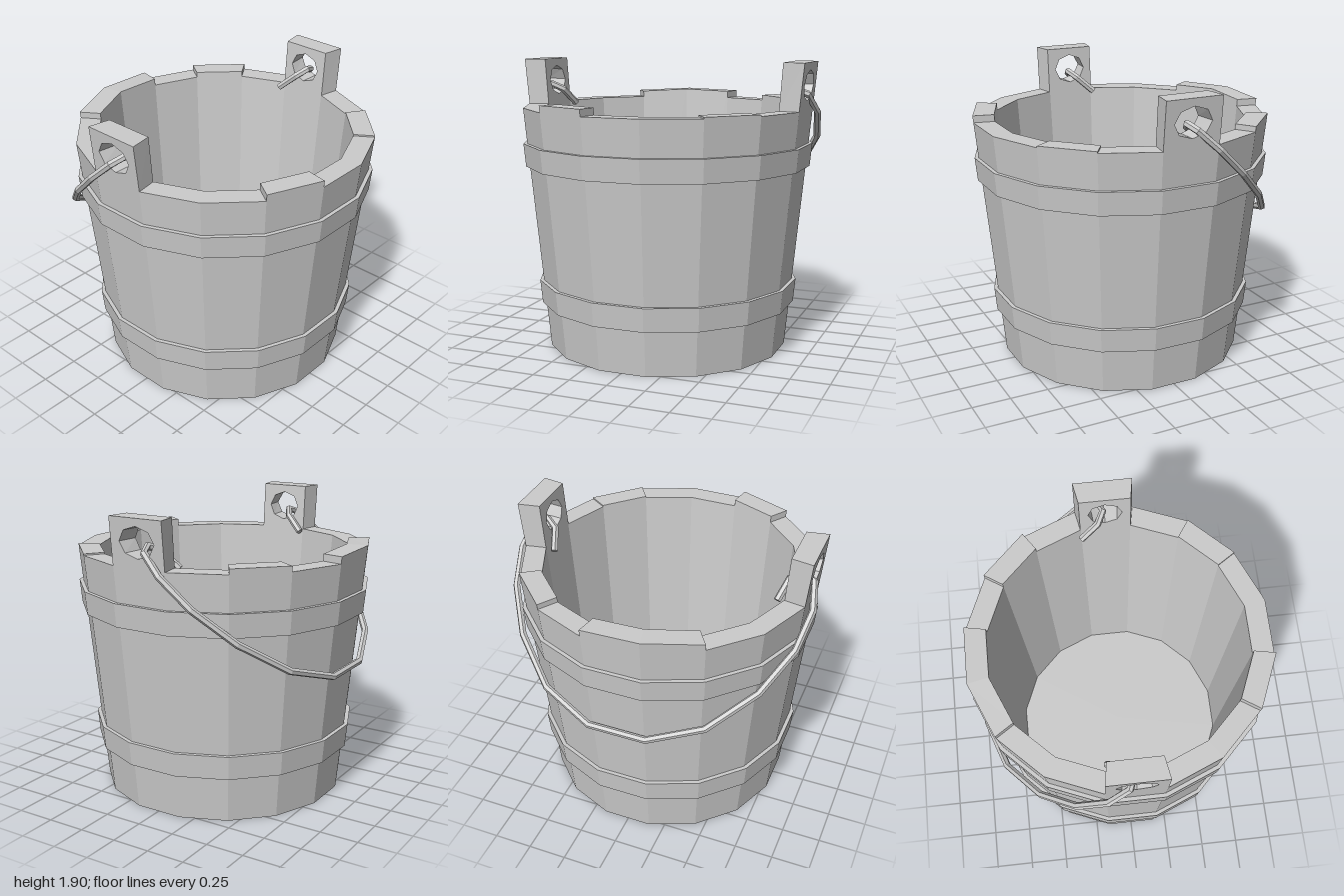
import * as THREE from 'three';

const SIDES = 16;
const STEP = (Math.PI * 2) / SIDES;
const COS = Math.cos(STEP / 2);
const RIM = 1.6;

// flat-to-flat half widths of the tapering wall
const outer = (y) => 0.785 + 0.094 * y;
const inner = (y) => 0.69 + 0.07 * y;

function mapVertices(geometry, rule) {
  const p = geometry.attributes.position;
  const v = new THREE.Vector3();
  for (let i = 0; i < p.count; i++) {
    v.fromBufferAttribute(p, i);
    rule(v);
    p.setXYZ(i, v.x, v.y, v.z);
  }
  geometry.computeVertexNormals();
  return geometry;
}

// one stave: a box bent onto its sector, with its own top height at each edge
function staveGeometry(index, topA, topB) {
  return mapVertices(new THREE.BoxGeometry(1, 1, 1), (v) => {
    const angle = (index + v.x) * STEP;
    const y = v.y < 0 ? 0 : v.x < 0 ? topA : topB;
    const r = (v.z > 0 ? outer(y) : inner(y)) / COS;
    v.set(Math.sin(angle) * r, y, Math.cos(angle) * r);
  });
}

// raised ear with an eight-sided hole, leaning with the wall
function lugGeometry() {
  const w = 0.187;
  const shape = new THREE.Shape([
    new THREE.Vector2(-w, RIM), new THREE.Vector2(w, RIM),
    new THREE.Vector2(w, 1.9), new THREE.Vector2(-w, 1.9),
  ]);
  const hole = [];
  for (let i = 0; i < 8; i++) {
    const a = (-i * Math.PI) / 4;
    hole.push(new THREE.Vector2(Math.cos(a) * 0.125, 1.755 + Math.sin(a) * 0.097));
  }
  shape.holes.push(new THREE.Path(hole));
  const geometry = new THREE.ExtrudeGeometry(shape, { depth: 1, bevelEnabled: false });
  return mapVertices(geometry, (v) => {
    const r = v.z > 0.5 ? outer(v.y) : inner(v.y);
    v.set(v.x * (v.z > 0.5 ? 1 : 0.87), v.y, r);
  });
}

function hoopGeometry(y0, y1) {
  const t = 0.025;
  const profile = [
    [outer(y0) - 0.01, y0], [outer(y0) + t, y0],
    [outer(y1) + t, y1], [outer(y1) - 0.01, y1],
  ].map(([r, y]) => new THREE.Vector2(r / COS, y));
  return new THREE.LatheGeometry(profile, SIDES, STEP / 2);
}

// straight-segment path through the given points
function polyline(points) {
  const curve = new THREE.Curve();
  curve.getPoint = (t, target = new THREE.Vector3()) => {
    const f = THREE.MathUtils.clamp(t, 0, 1) * (points.length - 1);
    const i = Math.min(Math.floor(f), points.length - 2);
    return target.lerpVectors(points[i], points[i + 1], f - i);
  };
  curve.getPointAt = curve.getPoint;
  curve.getTangentAt = curve.getTangent;
  return curve;
}

export function createModel() {
  const model = new THREE.Group();
  model.name = 'bucket';
  const material = new THREE.MeshStandardMaterial({ color: 0xcccccc, flatShading: true });
  const add = (parent, name, geometry) => {
    const mesh = new THREE.Mesh(geometry, material);
    mesh.name = name;
    parent.add(mesh);
    return mesh;
  };

  const body = new THREE.Group();
  body.name = 'body';
  body.position.x = 0.006;
  model.add(body);

  // staves, a few standing slightly proud of the rim
  const tops = {
    2: [1.61, 1.61], 6: [1.635, 1.635], 8: [1.645, 1.655],
    9: [1.655, 1.64], 15: [1.645, 1.645],
  };
  for (let i = 0; i < SIDES; i++) {
    const [a, b] = tops[i] || [RIM, RIM];
    add(body, 'stave', staveGeometry(i, a, b));
  }

  // ears for the handle
  for (const side of [1, -1]) {
    const lug = add(body, side > 0 ? 'leftLug' : 'rightLug', lugGeometry());
    lug.rotation.y = (side * Math.PI) / 2;
  }

  // recessed floor
  const floor = new THREE.CylinderGeometry(0.7 / COS, 0.7 / COS, 0.05, SIDES, 1, false, STEP / 2);
  add(body, 'floor', floor.translate(0, 0.07, 0));

  // hoops
  add(body, 'lowerHoop', hoopGeometry(0.3, 0.455));
  add(body, 'upperHoop', hoopGeometry(1.22, 1.37));

  // handle hanging to the back, hooked through both ears
  const half = [
    [0.75, -0.16], [0.79, -0.05], [0.86, -0.01], [0.94, -0.04], [0.976, -0.17],
    [0.935, -0.36], [0.79, -0.58], [0.53, -0.79], [0.19, -0.905],
  ];
  const path = [...half, ...half.map(([x, z]) => [-x, z]).reverse()]
    .map(([x, z]) => new THREE.Vector3(x, 1.735 + 0.93 * z, z));
  const handle = new THREE.Group();
  handle.name = 'handle';
  model.add(handle);
  add(handle, 'handleBar', new THREE.TubeGeometry(polyline(path), path.length - 1, 0.023, 6));
  for (const [end, next] of [[path[0], path[1]], [path.at(-1), path.at(-2)]]) {
    const cap = add(handle, 'handleEnd', new THREE.CircleGeometry(0.023, 6));
    cap.position.copy(end);
    cap.lookAt(end.clone().multiplyScalar(2).sub(next));
  }
  return model;
}
